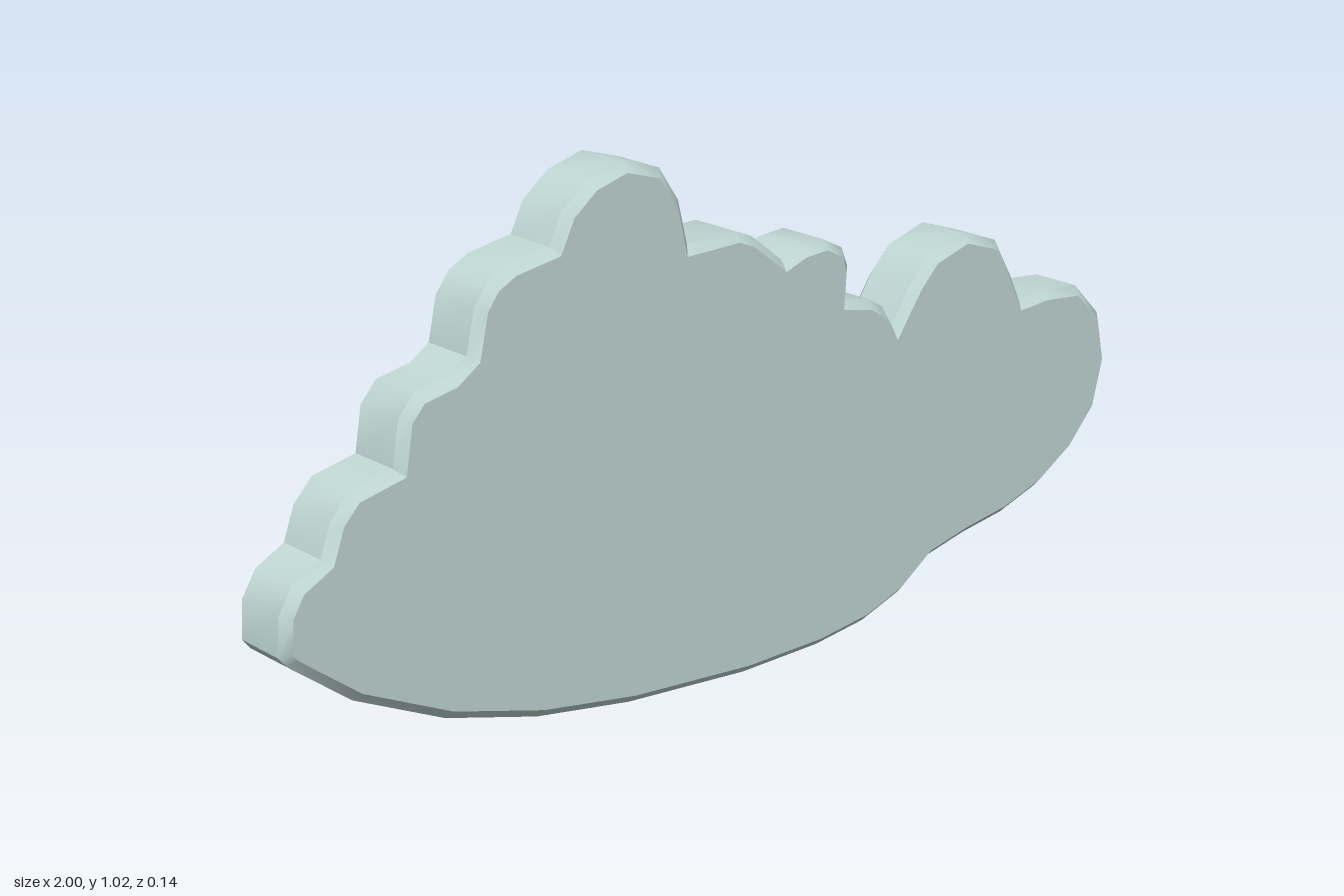
import * as THREE from 'three';
import { toCreasedNormals } from 'three/addons/utils/BufferGeometryUtils.js';

const DEPTH = 0.136;
const BEVEL = 0.017;

// Puffy upper edge, one list per lobe; each lobe ends in the notch before the next
const lobes = [
  [[-1, 0.33], [-0.995, 0.4], [-0.968, 0.445], [-0.91, 0.475]],
  [[-0.888, 0.535], [-0.85, 0.575], [-0.762, 0.593]],
  [[-0.748, 0.674], [-0.715, 0.711], [-0.645, 0.724], [-0.606, 0.75]],
  [[-0.588, 0.829], [-0.56, 0.866], [-0.517, 0.888], [-0.428, 0.902]],
  [[-0.4, 0.957], [-0.345, 1.0], [-0.27, 1.021], [-0.185, 0.995], [-0.142, 0.93], [-0.122, 0.848]],
  [[-0.01, 0.85], [0.03, 0.834], [0.104, 0.776]],
  [[0.147, 0.791], [0.206, 0.795], [0.255, 0.77], [0.27, 0.733], [0.265, 0.67]],
  [[0.324, 0.658], [0.362, 0.636], [0.39, 0.592]],
  [[0.437, 0.663], [0.485, 0.711], [0.576, 0.737], [0.668, 0.706], [0.716, 0.626], [0.743, 0.572]],
  [[0.807, 0.577], [0.909, 0.567], [0.979, 0.497], [1, 0.401]],
];

// Smooth underside, from the right end back to the left
const underside = [
  [0.973, 0.299], [0.903, 0.225], [0.812, 0.171], [0.71, 0.139], [0.598, 0.123],
  [0.501, 0.102], [0.421, 0.048], [0.324, 0.016], [0.201, 0.002], [0.013, 0.002],
  [-0.265, 0.027], [-0.475, 0.064], [-0.673, 0.123], [-0.861, 0.214], [-0.984, 0.31],
];

export function createModel() {
  const group = new THREE.Group();
  group.name = 'cloud';

  const paleTeal = new THREE.MeshStandardMaterial({ color: 0xbfd6d3 });
  paleTeal.name = 'paleTeal';

  // Cloud slab with chamfered rims on front and back
  const points = [...lobes.flat(), ...underside].map(([x, y]) => new THREE.Vector2(x, y));
  const geometry = new THREE.ExtrudeGeometry(new THREE.Shape(points), {
    depth: DEPTH - 2 * BEVEL,
    bevelEnabled: true,
    bevelSegments: 1,
    bevelSize: BEVEL,
    bevelThickness: BEVEL,
    bevelOffset: -BEVEL,
  });
  geometry.translate(0, 0, -DEPTH / 2 + BEVEL);

  // Smooth around each lobe, sharp at notches and chamfers
  const slab = new THREE.Mesh(toCreasedNormals(geometry, 0.65), paleTeal);
  slab.name = 'cloudSlab';
  group.add(slab);
  return group;
}
